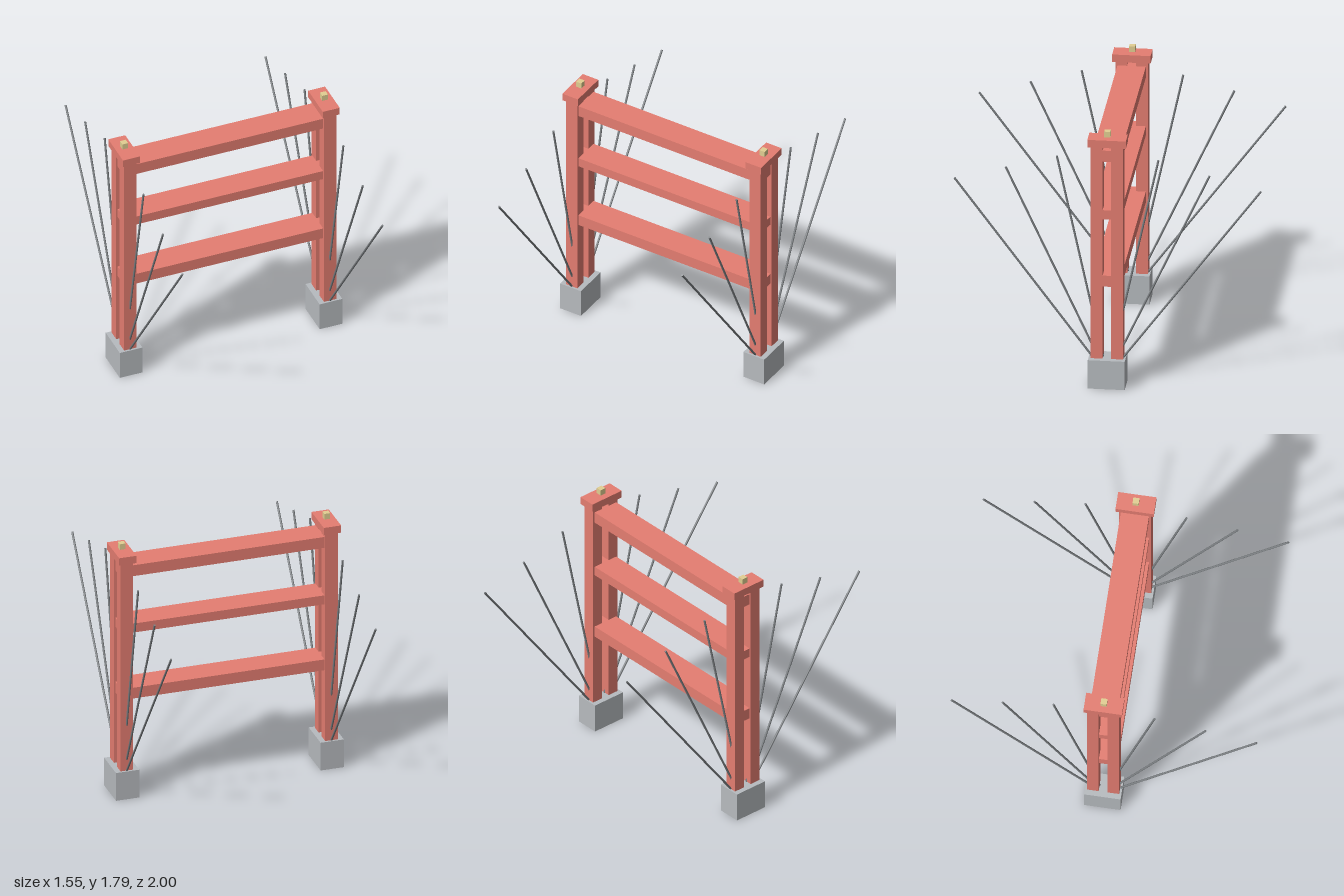
import * as THREE from 'three';

export function createModel() {
  const model = new THREE.Group();
  model.name = 'gateFrame';

  const material = (name, color) => {
    const m = new THREE.MeshStandardMaterial({ color });
    m.name = name;
    return m;
  };
  const red = material('red paint', 0xe57d71);
  const grey = material('concrete grey', 0xb7bbbf);
  const steel = material('steel', 0x7a7e81);
  const brass = material('pale brass', 0xe2cf92);

  // Box given by its centre in x and z, its lower and upper y, and its width and depth
  function box(parent, name, mat, x, z, y0, y1, w, d) {
    const mesh = new THREE.Mesh(new THREE.BoxGeometry(w, y1 - y0, d), mat);
    mesh.position.set(x, (y0 + y1) / 2, z);
    mesh.name = name;
    parent.add(mesh);
  }

  // Smooth round rod between two points
  function rod(parent, name, mat, a, b, radius) {
    const dir = b.clone().sub(a);
    const mesh = new THREE.Mesh(new THREE.CylinderGeometry(radius, radius, dir.length(), 20), mat);
    mesh.position.copy(a).lerp(b, 0.5);
    mesh.quaternion.setFromUnitVectors(new THREE.Vector3(0, 1, 0), dir.normalize());
    mesh.name = name;
    parent.add(mesh);
  }

  // Two towers: footing, paired legs, cap, lamp and fanned stays
  const stayTips = [[0.995, 1.405], [0.662, 1.498], [0.33, 1.592]];
  for (const side of [1, -1]) {
    const tower = new THREE.Group();
    tower.name = side > 0 ? 'leftTower' : 'rightTower';
    tower.position.x = side * 0.697;
    box(tower, 'footing', grey, 0, 0, 0, 0.199, 0.158, 0.24);
    box(tower, 'cap', red, 0, 0, 1.688, 1.74, 0.118, 0.25);
    box(tower, 'lamp', brass, 0, 0, 1.746, 1.786, 0.04, 0.04);
    for (const face of [1, -1]) {
      box(tower, 'leg', red, 0, face * 0.067, 0.199, 1.688, 0.086, 0.077);
      for (const [z, y] of stayTips) {
        rod(tower, 'stay', steel, new THREE.Vector3(0, 0.06, 0), new THREE.Vector3(0, y, face * z), 0.007);
      }
    }
    model.add(tower);
  }

  // Cross beams running through the gaps between the legs
  for (const [name, y0, y1] of [['topBeam', 1.58, 1.658], ['middleBeam', 1.175, 1.239], ['deckBeam', 0.702, 0.779]]) {
    box(model, name, red, 0, 0, y0, y1, 1.46, 0.184);
  }

  // Slim light tube under the lowest beam
  rod(model, 'underTube', brass, new THREE.Vector3(-0.67, 0.702, 0), new THREE.Vector3(0.67, 0.702, 0), 0.01);

  return model;
}
